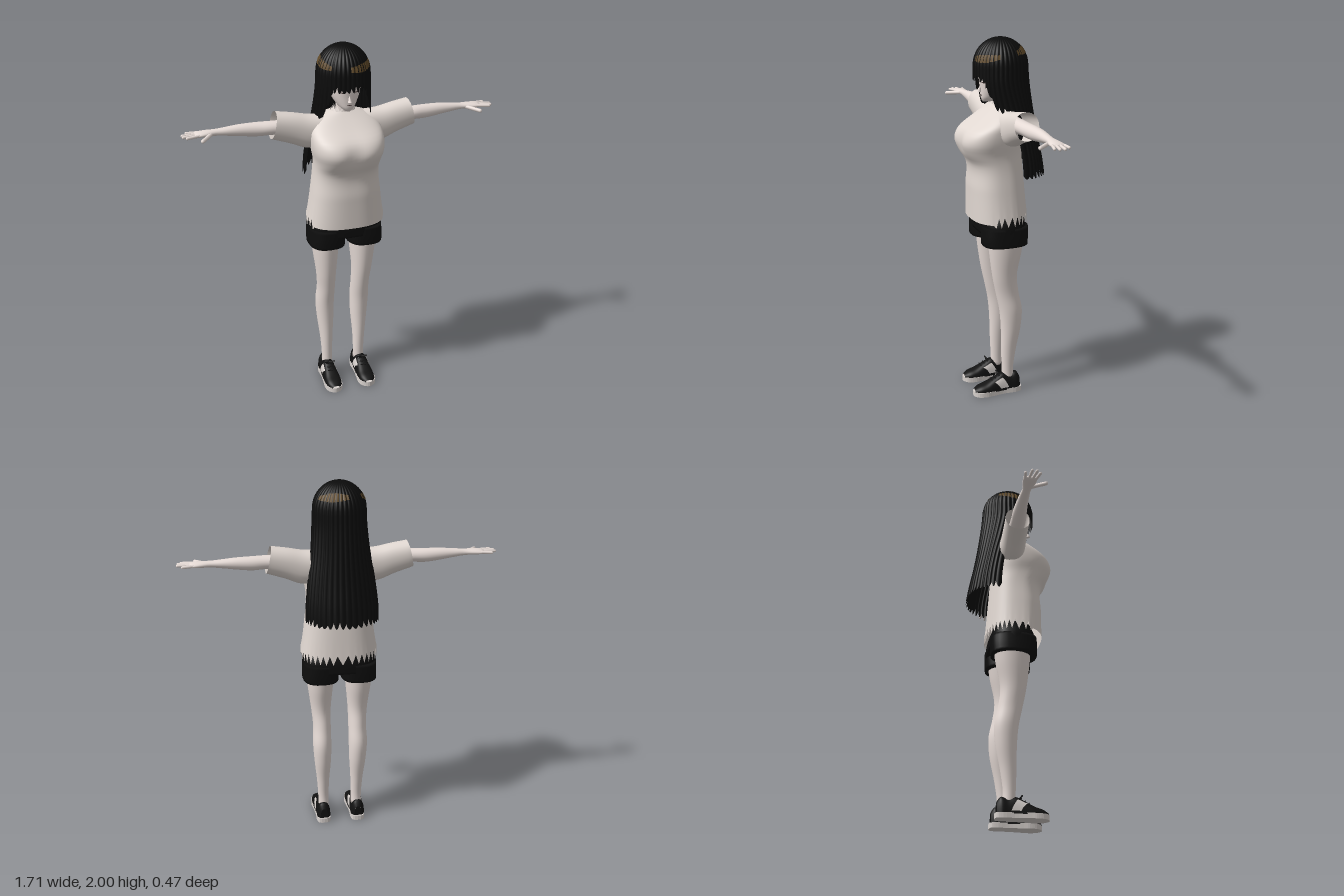
import * as THREE from 'three';

const mat = (name, color, side = THREE.FrontSide) => {
  const m = new THREE.MeshStandardMaterial({ color, side });
  m.name = name;
  return m;
};
const SKIN = mat('skin', 0xe6dbd6, THREE.DoubleSide);
const SHIRT = mat('shirt cloth', 0xe0d7d1, THREE.DoubleSide);
const HAIR = mat('black hair', 0x0b0b0b, THREE.DoubleSide);
const SHEEN = mat('brown hair sheen', 0x5e4828, THREE.DoubleSide);
const SHORTS = mat('shorts cloth', 0x0e0e0e, THREE.DoubleSide);
const SHOE = mat('shoe black', 0x121212, THREE.DoubleSide);
const SOLE = mat('sole white', 0xd8d2ce, THREE.DoubleSide);
const LINE = mat('face line', 0x4a3c3a, THREE.DoubleSide);

const rad = THREE.MathUtils.degToRad;
const spow = (v, e) => Math.sign(v) * Math.abs(v) ** e;

function part(parent, name, geometry, material) {
  const mesh = new THREE.Mesh(geometry, material);
  mesh.name = name;
  parent.add(mesh);
  return mesh;
}

// Grid surface from fn(u, v, i, j) -> [x, y, z]; wrap closes it around u
function surface(fn, nu, nv, wrap = false) {
  const pos = [], idx = [], cols = wrap ? nu : nu + 1;
  for (let j = 0; j <= nv; j++)
    for (let i = 0; i < cols; i++) pos.push(...fn(i / nu, j / nv, i, j));
  for (let j = 0; j < nv; j++)
    for (let i = 0; i < nu; i++) {
      const k = (i + 1) % cols, a = j * cols + i, b = j * cols + k;
      idx.push(a, b, b + cols, a, b + cols, a + cols);
    }
  const g = new THREE.BufferGeometry();
  g.setAttribute('position', new THREE.Float32BufferAttribute(pos, 3));
  g.setIndex(idx);
  g.computeVertexNormals();
  return g;
}

const curveOf = (rows) => new THREE.CubicInterpolant(
  rows.map((r) => r[0]), rows.flatMap((r) => r.slice(1)), rows[0].length - 1);

// Smooth loft upward through rings [y, centreX, halfWidth, zFront, zBack]
function loft(rings, { n = 28, m = 28, e = 1, caps = true, tweak } = {}) {
  const c = curveOf(rings), y0 = rings[0][0], y1 = rings.at(-1)[0];
  const rows = caps ? m + 2 : m;
  return surface((u, _, i, j) => {
    const v = THREE.MathUtils.clamp((caps ? j - 1 : j) / m, 0, 1);
    const y = y0 + (y1 - y0) * v, [cx, w, zf, zb] = c.evaluate(y);
    const k = caps && (j === 0 || j === rows) ? 0 : 1, t = u * Math.PI * 2;
    const p = [cx + k * w * spow(Math.sin(t), e), y,
      (zf + zb) / 2 + k * (zf - zb) / 2 * spow(Math.cos(t), e)];
    if (tweak) tweak(p, t, v, i);
    return p;
  }, n, rows, true);
}

// Rounded rod between two points
function rod(parent, name, a, b, r, material) {
  const A = new THREE.Vector3(...a), B = new THREE.Vector3(...b), d = B.clone().sub(A);
  const mesh = part(parent, name, new THREE.CapsuleGeometry(r, d.length(), 4, 10), material);
  mesh.position.copy(A).add(B).multiplyScalar(0.5);
  mesh.quaternion.setFromUnitVectors(new THREE.Vector3(0, 1, 0), d.normalize());
  return mesh;
}

// Shared hair volume: angle t (0 = front) and height y
const hairCurve = curveOf([ // y, halfWidth, zFront, zBack, centreZ
  [1.25, 0.192, 0.1, -0.238, -0.1], [1.35, 0.19, 0.1, -0.222, -0.095],
  [1.5, 0.174, 0.1, -0.192, -0.07], [1.65, 0.153, 0.135, -0.168, -0.03],
  [1.78, 0.143, 0.143, -0.152, 0], [1.85, 0.14, 0.143, -0.147, 0]]);
function hairPoint(t, y, grow = 1) {
  const f = y > 1.85 ? Math.sqrt(Math.max(0, 1 - ((y - 1.85) / 0.15) ** 2)) : 1;
  const [w, zf, zb, cz] = hairCurve.evaluate(Math.min(y, 1.85));
  const s = grow * f * (0.985 + 0.035 * Math.abs(Math.sin(t * 18)));
  return [w * s * Math.sin(t), y, cz + (Math.cos(t) > 0 ? zf - cz : cz - zb) * s * Math.cos(t)];
}
function hairSheet(from, to, bottom, tooth) {
  return surface((u, v) => {
    const t = rad(from + (to - from) * u);
    const yb = bottom(t) + tooth * (1 - Math.abs(Math.sin(t * 18))) * (1 + 0.5 * Math.sin(t * 7));
    return hairPoint(t, yb + (2 - yb) * Math.sin(v * Math.PI / 2));
  }, Math.round((to - from) * 0.8), 26);
}

function buildHair(g) {
  part(g, 'fringe', hairSheet(-50, 50, () => 1.775, 0.025), HAIR);
  part(g, 'backHair', hairSheet(80, 280, () => 1.268, 0.025), HAIR);
  const lock = (t) => 1.74 - 0.13 * THREE.MathUtils.smoothstep(Math.abs(t), rad(38), rad(62));
  part(g, 'leftSideLock', hairSheet(38, 96, lock, 0.03), HAIR);
  part(g, 'rightSideLock', hairSheet(-96, -38, lock, 0.03), HAIR);
  // Broken ring of sheen around the crown
  for (let k = 0; k < 44; k++) {
    const a = k / 44 * Math.PI * 2, r = Math.sin(k * 12.99) * 0.5 + 0.5;
    if (r < 0.22) continue;
    const h = 0.007 + 0.013 * r;
    part(g, 'hairSheen', surface((u, v) => {
      const t = a + u * 0.115;
      return hairPoint(t, 1.916 - 0.022 * Math.cos(t) + (v * 2 - 1) * h, 1.012);
    }, 4, 3), SHEEN);
  }
}

function buildHead(g) {
  part(g, 'head', loft([
    [1.663, 0, 0.012, 0.098, 0.05], [1.68, 0, 0.036, 0.106, 0.01], [1.705, 0, 0.056, 0.109, -0.04],
    [1.74, 0, 0.074, 0.111, -0.075], [1.79, 0, 0.085, 0.115, -0.09], [1.85, 0, 0.095, 0.112, -0.1],
    [1.92, 0, 0.06, 0.07, -0.07]], { e: 0.92 }), SKIN);
  part(g, 'neck', loft([[1.56, 0, 0.06, 0.04, -0.06], [1.62, 0, 0.043, 0.04, -0.045],
    [1.72, 0, 0.04, 0.045, -0.045]], { m: 10 }), SKIN);
  const nose = part(g, 'nose', new THREE.ConeGeometry(0.011, 0.045, 10), SKIN);
  nose.position.set(0, 1.738, 0.112);
  nose.rotation.x = -0.3;
  nose.scale.z = 1.3;
  part(g, 'mouth', new THREE.BoxGeometry(0.024, 0.003, 0.004), LINE).position.set(0, 1.7, 0.108);
  for (const s of [-1, 1]) {
    const lash = part(g, 'eyelashes', new THREE.BoxGeometry(0.034, 0.005, 0.005), LINE);
    lash.position.set(s * 0.037, 1.768, 0.103);
    lash.rotation.y = s * 0.4;
  }
}

function buildClothes(g) {
  // Shirt body with a ragged back hem and a soft dip at the middle of the chest
  part(g, 'shirtBody', loft([
    [1.03, 0, 0.21, 0.18, -0.127], [1.2, 0, 0.189, 0.18, -0.115], [1.34, 0, 0.175, 0.182, -0.104],
    [1.4, 0, 0.177, 0.222, -0.1], [1.46, 0, 0.19, 0.243, -0.095], [1.52, 0, 0.194, 0.212, -0.09],
    [1.57, 0, 0.188, 0.135, -0.086], [1.61, 0, 0.155, 0.082, -0.08], [1.632, 0, 0.11, 0.056, -0.072],
    [1.645, 0, 0.065, 0.042, -0.055]], {
    n: 72, m: 36, e: 0.8, caps: false,
    tweak(p, t, v, i) {
      if (Math.cos(t) < 0.35) p[1] += (i % 2 ? 0.04 : -0.015) * (1 - v) ** 9;
      else p[2] -= 0.02 * Math.exp(-((p[0] / 0.06) ** 2)) * Math.exp(-(((p[1] - 1.46) / 0.07) ** 2));
    },
  }), SHIRT);
  // Pointed collar edge
  part(g, 'collar', surface((u, v, i) => {
    const t = u * Math.PI * 2, r = 0.066 - 0.012 * v;
    return [r * Math.sin(t), 1.634 + v * (i % 2 ? 0.035 : 0.01), -0.006 + r * 0.8 * Math.cos(t)];
  }, 24, 1, true), SHIRT);
  part(g, 'shortsWaist', loft([[0.955, 0, 0.204, 0.14, -0.115], [1.02, 0, 0.2, 0.14, -0.112],
    [1.08, 0, 0.17, 0.12, -0.09]], { e: 0.75, m: 10 }), SHORTS);
  for (const s of [-1, 1])
    part(g, 'shortsLeg', loft([[0.896, s * 0.106, 0.099, 0.138, -0.11], [0.94, s * 0.105, 0.1, 0.14, -0.113],
      [1.0, s * 0.102, 0.1, 0.138, -0.113]], { e: 0.75, m: 8 }), SHORTS);
}

// Arm, hand and sleeve of the left side, lofted upright and laid along +x
function buildArm() {
  const g = new THREE.Group();
  const lay = (geo) => geo.rotateZ(Math.PI / 2).scale(-1, -1, 1);
  part(g, 'sleeve', lay(loft([
    [0.1, -1.545, 0.085, 0.075, -0.075], [0.2, -1.546, 0.09, 0.066, -0.072],
    [0.28, -1.57, 0.081, 0.061, -0.072], [0.378, -1.595, 0.071, 0.058, -0.074]], {
    m: 14, e: 0.9, caps: false, tweak: (p, t, v) => { p[1] += 0.016 * v * Math.sin(t); },
  })), SHIRT);
  part(g, 'arm', lay(loft([
    [0.15, -1.57, 0.045, 0.035, -0.05], [0.39, -1.582, 0.036, 0.035, -0.047],
    [0.46, -1.581, 0.037, 0.026, -0.05], [0.55, -1.585, 0.031, 0.017, -0.046],
    [0.62, -1.587, 0.023, 0.012, -0.04], [0.68, -1.588, 0.017, 0.01, -0.036],
    [0.72, -1.588, 0.016, 0.02, -0.043], [0.765, -1.587, 0.013, 0.025, -0.048],
    [0.785, -1.587, 0.008, 0.02, -0.045]], { m: 36, n: 20 })), SKIN);
  const tips = [[0.828, 0.03], [0.845, 0.01], [0.847, -0.015], [0.822, -0.046]];
  tips.forEach(([x, z], k) =>
    rod(g, 'finger', [0.765, 1.588, 0.016 - k * 0.018], [x, 1.586, z], 0.0078, SKIN));
  rod(g, 'thumb', [0.705, 1.585, 0.008], [0.757, 1.578, 0.072], 0.0105, SKIN);
  return g;
}

// Shoe upper: a row of arches along z
const shoeCurve = curveOf([ // z, halfWidth, topY
  [-0.076, 0.022, 0.085], [-0.06, 0.036, 0.112], [-0.02, 0.038, 0.106], [0.025, 0.04, 0.116],
  [0.07, 0.044, 0.094], [0.12, 0.047, 0.068], [0.165, 0.04, 0.053], [0.19, 0.022, 0.038]]);
function shoePoint(z, t, grow = 1) {
  const [w, h] = shoeCurve.evaluate(z);
  return [0.1 + grow * w * spow(Math.cos(t), 0.75), 0.022 + grow * (h - 0.022) * spow(Math.sin(t), 0.8), z];
}

function buildLeg() {
  const g = new THREE.Group();
  part(g, 'leg', loft([
    [0.08, 0.096, 0.03, 0.022, -0.045], [0.14, 0.096, 0.03, 0.024, -0.042], [0.25, 0.098, 0.035, 0.028, -0.056],
    [0.4, 0.101, 0.048, 0.031, -0.084], [0.5, 0.103, 0.052, 0.04, -0.089], [0.6, 0.101, 0.05, 0.06, -0.07],
    [0.7, 0.104, 0.055, 0.08, -0.058], [0.85, 0.107, 0.071, 0.1, -0.084],
    [0.96, 0.107, 0.08, 0.11, -0.1]], { m: 44 }), SKIN);
  part(g, 'shoeUpper', surface((u, v) => shoePoint(-0.076 + 0.266 * v, Math.PI * (1 - u)), 20, 28), SHOE);
  const heel = surface((u, v) => {
    const p = shoePoint(-0.076, Math.PI * u);
    return [0.1 + (p[0] - 0.1) * v, 0.022 + (p[1] - 0.022) * v, p[2]];
  }, 12, 1);
  part(g, 'shoeHeel', heel, SHOE);
  // Sole follows the outline of the foot
  const outline = [[0.028, 0.08], [0.04, 0.05], [0.039, -0.02], [0.046, -0.09], [0.05, -0.13], [0.038, -0.175], [0, -0.197]];
  const pts = [...outline, ...outline.slice(0, -1).reverse().map(([x, z]) => [-x, z])];
  const edge = new THREE.CatmullRomCurve3(pts.map(([x, z]) => new THREE.Vector3(x, z, 0)), true);
  const sole = new THREE.ExtrudeGeometry(new THREE.Shape(edge.getPoints(48).slice(0, -1).map((p) => new THREE.Vector2(p.x, p.y))),
    { depth: 0.028, bevelEnabled: false });
  part(g, 'sole', sole.rotateX(-Math.PI / 2).translate(0.1, 0, 0), SOLE);
  // Slanted pale panel on both sides of the shoe
  for (const flip of [0, 1])
    part(g, 'sidePanel', surface((u, v) => {
      const t = 0.1 + v * 0.75, z = -0.005 + u * 0.05 + v * 0.035;
      return shoePoint(z, flip ? Math.PI - t : t, 1.03);
    }, 6, 6), SOLE);
  // Laces and bow
  for (let k = 0; k < 3; k++) {
    const z = 0.05 + k * 0.02, y = shoeCurve.evaluate(z)[1] + 0.001;
    rod(g, 'lace', [0.082, y, z], [0.118, y, z], 0.003, SHOE);
  }
  for (const s of [-1, 1]) rod(g, 'laceBow', [0.1, 0.112, 0.045], [0.1 + s * 0.03, 0.118, 0.052], 0.004, SHOE);
  return g;
}

export function createModel() {
  const model = new THREE.Group();
  model.name = 'longHairedFigure';
  buildHead(model);
  buildHair(model);
  buildClothes(model);
  for (const s of [1, -1]) {
    const side = s > 0 ? 'left' : 'right';
    for (const [name, build] of [['Arm', buildArm], ['Leg', buildLeg]]) {
      const limb = build();
      limb.name = side + name;
      limb.scale.x = s;
      model.add(limb);
    }
  }
  return model;
}
